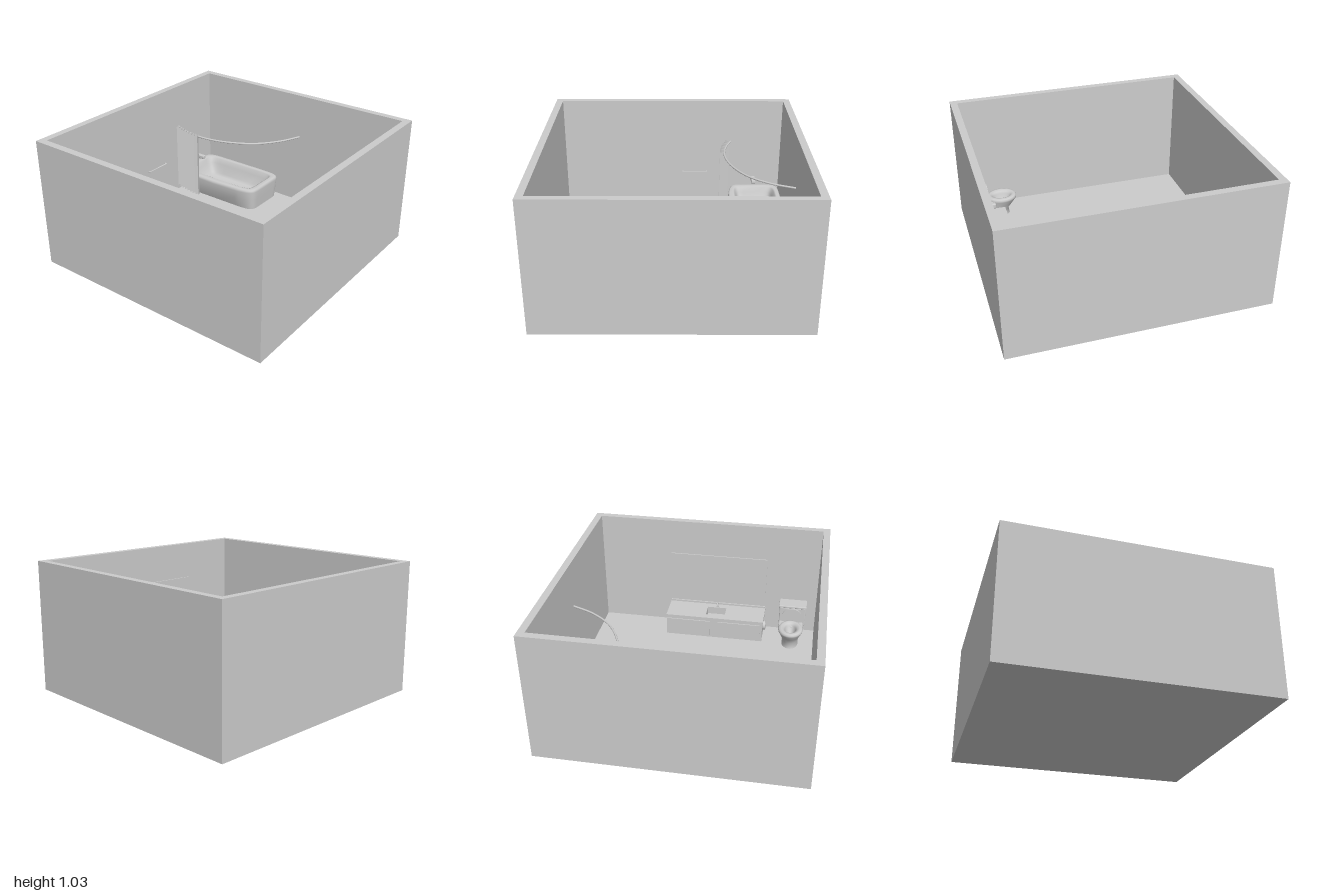
import * as THREE from 'three';
import { RoundedBoxGeometry } from 'three/addons/geometries/RoundedBoxGeometry.js';

const mat = new THREE.MeshStandardMaterial({ color: 0xcccccc });
const thin = new THREE.MeshStandardMaterial({ color: 0xcccccc, side: THREE.DoubleSide });

function add(parent, name, geometry, material = mat) {
  const mesh = new THREE.Mesh(geometry, material);
  mesh.name = name;
  parent.add(mesh);
  return mesh;
}

// Box given by its limits on each axis, optionally with rounded edges
function box(parent, name, [x0, x1], [y0, y1], [z0, z1], r = 0) {
  const size = [x1 - x0, y1 - y0, z1 - z0];
  const g = r ? new RoundedBoxGeometry(...size, 3, r) : new THREE.BoxGeometry(...size);
  g.translate((x0 + x1) / 2, (y0 + y1) / 2, (z0 + z1) / 2);
  return add(parent, name, g);
}

function tube(parent, name, points, r, segments = 32) {
  const curve = new THREE.CatmullRomCurve3(points.map(p => new THREE.Vector3(...p)));
  return add(parent, name, new THREE.TubeGeometry(curve, segments, r, 10));
}

function group(parent, name) {
  const g = new THREE.Group();
  g.name = name;
  parent.add(g);
  return g;
}

// Smooth skin over superellipse sections [cx, cz, rx, rz, y], listed along the surface
function loft(sections, power, bulge = 0, n = 64) {
  const pos = [], index = [];
  const bend = v => Math.sign(v) * Math.abs(v) ** (2 / power);
  sections.forEach(([cx, cz, rx, rz, y], i) => {
    for (let j = 0; j < n; j++) {
      const a = (j / n) * Math.PI * 2, c = bend(Math.cos(a)), s = bend(Math.sin(a));
      const out = c < 0 && rx > 0.2 ? bulge * c * (1 - s * s) : 0;
      pos.push(cx + rx * c + out, y, cz + rz * s);
      if (i) {
        const k = (j + 1) % n, p = (i - 1) * n, q = i * n;
        index.push(p + j, q + j, p + k, q + j, q + k, p + k);
      }
    }
  });
  const g = new THREE.BufferGeometry();
  g.setAttribute('position', new THREE.Float32BufferAttribute(pos, 3));
  g.setIndex(index);
  g.computeVertexNormals();
  return g;
}

function rectPath(Type, x0, x1, y0, y1) {
  return new Type([[x0, y0], [x1, y0], [x1, y1], [x0, y1]].map(p => new THREE.Vector2(...p)));
}

// Flat slab with a rectangular opening, lying in xz; limits are [x0, x1, z0, z1]
function slabWithHole([a, b, c, d], [e, f, g, h], y0, y1) {
  const shape = rectPath(THREE.Shape, a, b, -d, -c);
  shape.holes.push(rectPath(THREE.Path, e, f, -h, -g));
  return new THREE.ExtrudeGeometry(shape, { depth: y1 - y0, bevelEnabled: false })
    .rotateX(-Math.PI / 2).translate(0, y0, 0);
}

const FLOOR = 0.06, IN = 0.945;

function buildRoom(root) {
  const room = group(root, 'room');
  box(room, 'floor', [-1, 1], [0, FLOOR], [-1, 1]);
  add(room, 'walls', slabWithHole([-1, 1, -1, 1], [-IN, IN, -IN, IN], FLOOR, 1.03));
}

function buildBath(root) {
  const bath = group(root, 'bath');
  const x = 0.725, z = -0.547;
  add(bath, 'tub', loft([
    [x, z, 0.2, 0.385, FLOOR], [x, z, 0.208, 0.392, 0.15], [x, z, 0.215, 0.398, 0.225],
    [x, z, 0.213, 0.396, 0.242], [x, z, 0.203, 0.388, 0.25],
    [x - 0.005, z, 0.185, 0.355, 0.25], [x - 0.005, z, 0.173, 0.34, 0.243],
    [x - 0.005, z - 0.005, 0.158, 0.325, 0.2], [x - 0.005, z - 0.02, 0.135, 0.27, 0.12],
    [x - 0.005, z - 0.03, 0.11, 0.23, 0.1], [x - 0.005, z - 0.03, 0, 0, 0.098],
  ], 8, 0.03));
  box(bath, 'spout', [0.697, 0.733], [0.3, 0.33], [-IN, -0.83], 0.006);
  add(bath, 'drain', new THREE.CylinderGeometry(0.014, 0.014, 0.004, 20)).position.set(0.725, 0.102, -0.76);
}

function buildCurtain(root) {
  const g = group(root, 'showerCurtain');
  const path = [[0.945, 0.03], [0.77, -0.05], [0.6, -0.19], [0.49, -0.38], [0.443, -0.55],
    [0.437, -0.68], [0.46, -0.82], [0.505, -IN]];
  tube(g, 'curtainRail', path.map(([px, pz]) => [px, 0.66, pz]), 0.008, 64);

  // Gathered folds: a zigzag sheet hanging beside the rail
  const folds = 16, pos = [], index = [];
  for (let i = 0; i <= folds; i++) {
    const t = i / folds, pz = -0.65 - 0.28 * t;
    const px = 0.433 + 0.06 * t * t + (i % 2 ? 0.004 : -0.034);
    pos.push(px, 0.11, pz, px, 0.675, pz);
    if (i) { const k = 2 * i; index.push(k - 2, k, k - 1, k, k + 1, k - 1); }
  }
  const sheet = new THREE.BufferGeometry();
  sheet.setAttribute('position', new THREE.Float32BufferAttribute(pos, 3));
  sheet.setIndex(index);
  const flat = sheet.toNonIndexed();
  flat.computeVertexNormals();
  add(g, 'curtain', flat, thin);
}

function buildVanity(root) {
  const v = group(root, 'vanity');
  const hole = [-0.165, 0, 0.745, 0.875];
  box(v, 'cabinetBack', [-0.5, 0.34], [FLOOR, 0.23], [0.9, IN]);
  box(v, 'cabinetFront', [-0.5, 0.34], [FLOOR, 0.23], [0.692, 0.73]);
  for (const [a, b] of [[-0.5, -0.18], [0.015, 0.34]]) box(v, 'cabinetSide', [a, b], [FLOOR, 0.23], [0.73, 0.9]);
  add(v, 'counter', slabWithHole([-0.505, 0.342, 0.688, IN], hole, 0.23, 0.255));
  // Sunken basin
  add(v, 'basinWalls', slabWithHole([-0.18, 0.015, 0.73, 0.9], hole, 0.19, 0.23));
  box(v, 'basinFloor', [-0.18, 0.015], [0.18, 0.19], [0.73, 0.9]);
  for (const [a, b] of [[-0.48, -0.11], [-0.045, 0.335]]) box(v, 'door', [a, b], [0.08, 0.22], [0.683, 0.692]);
  box(v, 'backsplash', [-0.5, 0.34], [0.255, 0.27], [0.932, IN]);
  tube(v, 'tap', [[-0.085, 0.25, 0.895], [-0.085, 0.29, 0.895], [-0.085, 0.305, 0.875], [-0.085, 0.295, 0.82]], 0.006);
  add(v, 'tapBase', new THREE.CylinderGeometry(0.01, 0.01, 0.015, 16)).position.set(-0.085, 0.262, 0.895);
  add(v, 'paperRoll', new THREE.CylinderGeometry(0.04, 0.04, 0.024, 24).rotateZ(Math.PI / 2))
    .position.set(-0.512, 0.18, 0.775);
  box(root, 'mirror', [-0.5, 0.34], [0.38, 0.73], [0.935, IN]);
}

function buildToilet(root) {
  const t = group(root, 'toilet');
  const x = -0.745, z = 0.675;
  add(t, 'bowl', loft([
    [x, z + 0.04, 0.07, 0.1, FLOOR], [x, z + 0.04, 0.065, 0.09, 0.11], [x, z + 0.015, 0.085, 0.11, 0.17],
    [x, z, 0.102, 0.123, 0.21], [x, z, 0.106, 0.126, 0.225], [x, z, 0.098, 0.118, 0.238],
    [x, z, 0.078, 0.1, 0.243], [x, z, 0.056, 0.08, 0.234], [x, z, 0.048, 0.072, 0.215],
    [x, z, 0.03, 0.045, 0.16], [x, z, 0, 0, 0.135],
  ], 2, 0, 48));
  box(t, 'bowlBack', [-0.845, -0.635], [0.17, 0.215], [0.74, 0.83], 0.012);
  box(t, 'pedestalBack', [-0.815, -0.675], [FLOOR, 0.18], [0.74, 0.9], 0.012);
  box(t, 'tank', [-0.86, -0.635], [0.18, 0.35], [0.812, 0.928], 0.008);
  box(t, 'tankLid', [-0.866, -0.629], [0.35, 0.37], [0.805, 0.934], 0.006);
  // Raised seat lid resting against the tank
  const lid = new THREE.CylinderGeometry(1, 1, 0.01, 40).rotateX(Math.PI / 2).scale(0.08, 0.06, 1);
  add(t, 'seatLid', lid).position.set(x, 0.29, 0.8);
}

function buildTowelRail(root) {
  const g = group(root, 'towelRail');
  box(g, 'bar', [0.085, 0.305], [0.37, 0.382], [-0.93, -0.918]);
  for (const x of [0.085, 0.295]) box(g, 'post', [x, x + 0.01], [0.37, 0.382], [-IN, -0.93]);
}

export function createModel() {
  const root = new THREE.Group();
  root.name = 'bathroom';
  [buildRoom, buildBath, buildCurtain, buildVanity, buildToilet, buildTowelRail].forEach(build => build(root));
  return root;
}
